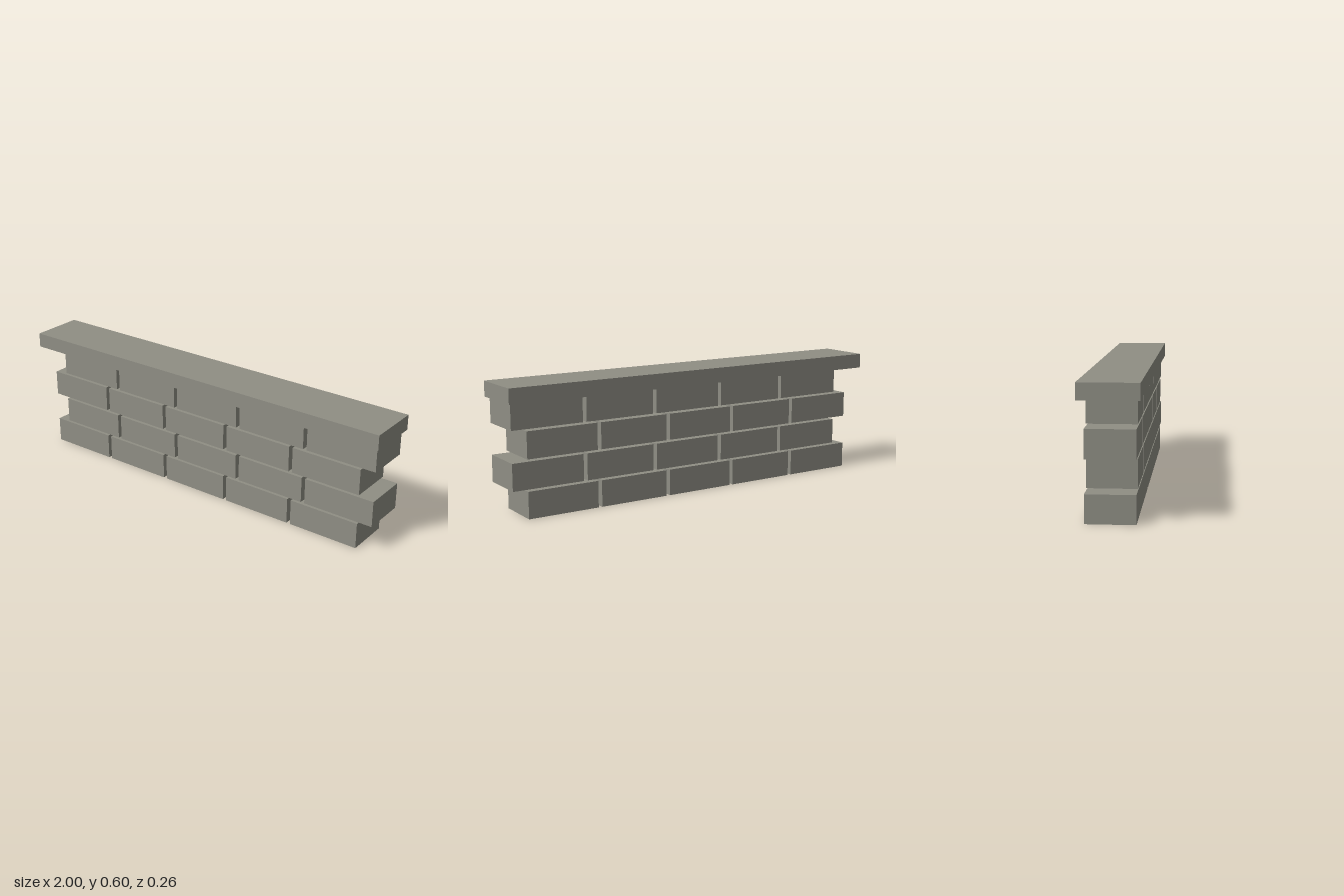
import * as THREE from 'three';

export function createModel() {
  const wall = new THREE.Group();
  wall.name = 'brickWall';

  const stone = new THREE.MeshStandardMaterial({ color: 0x8f8e84 });
  stone.name = 'grey stone';

  const rows = 4, perRow = 5;
  const brickW = 0.35, brickH = 0.1255, brickD = 0.216;
  const pitchX = 0.369, pitchY = 0.1355;
  const brick = new THREE.BoxGeometry(brickW, brickH, brickD);

  // Courses of bricks with open joints, every second one shifted sideways
  for (let r = 0; r < rows; r++) {
    const course = new THREE.Group();
    course.name = `course${r + 1}`;
    course.position.set(r % 2 ? 0.072 : -0.001, r * pitchY + brickH / 2, 0);
    for (let i = 0; i < perRow; i++) {
      const mesh = new THREE.Mesh(brick, stone);
      mesh.name = 'brick';
      mesh.position.x = (i - (perRow - 1) / 2) * pitchX;
      course.add(mesh);
    }
    wall.add(course);
  }

  // Overhanging coping slab, bedded slightly over the top course
  const coping = new THREE.Mesh(new THREE.BoxGeometry(2, 0.072, 0.26), stone);
  coping.name = 'copingSlab';
  coping.position.y = 0.56;
  wall.add(coping);

  return wall;
}
